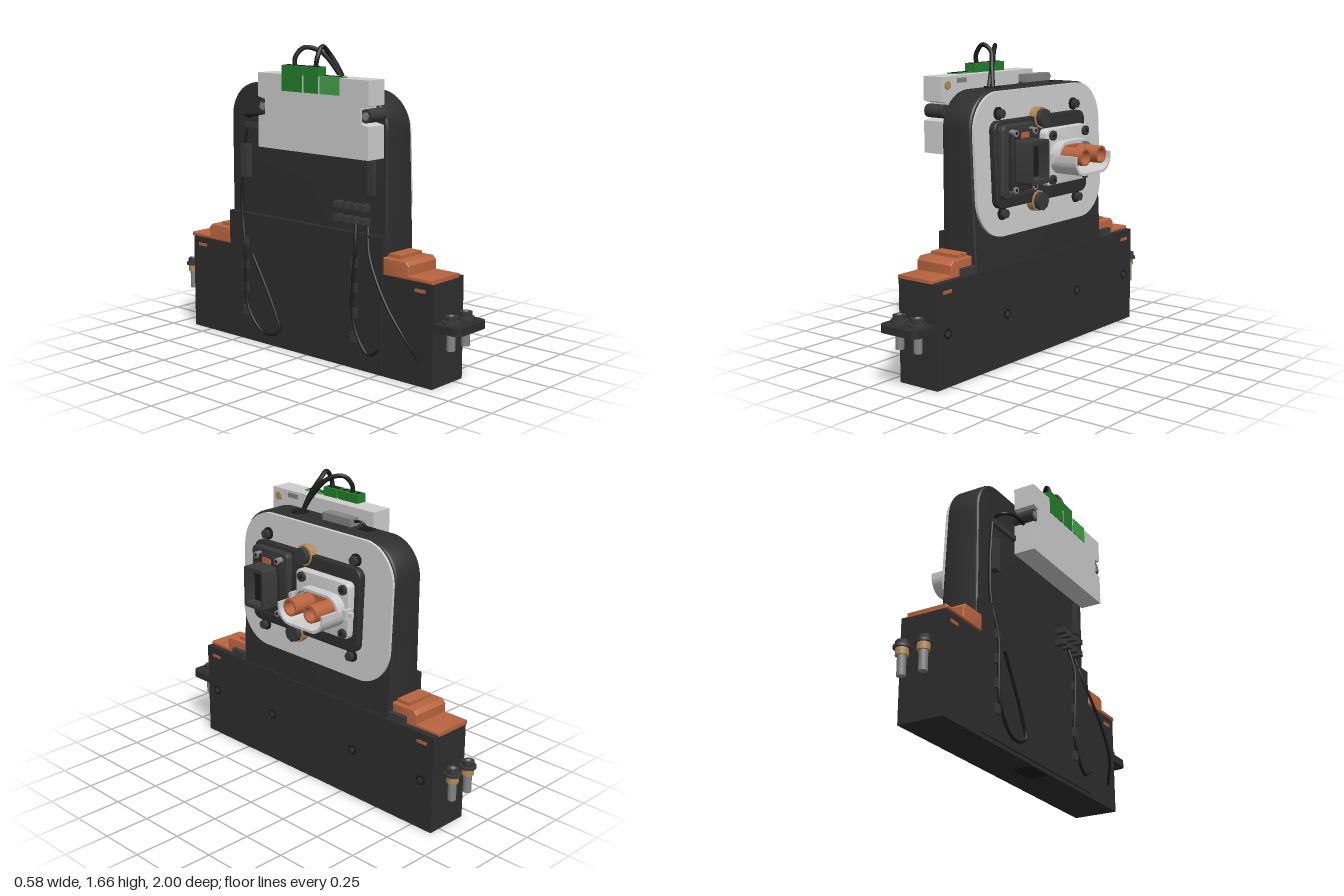
import * as THREE from 'three';
import { toCreasedNormals } from 'three/addons/utils/BufferGeometryUtils.js';

const mat = (name, color, side = THREE.FrontSide) => {
  const m = new THREE.MeshStandardMaterial({ color, side });
  m.name = name;
  return m;
};

export function createModel() {
  const root = new THREE.Group();
  const M = {
    body: mat('charcoal plastic', 0x2e2e2e),
    dark: mat('dark plastic', 0x3a3a3a),
    black: mat('black rubber', 0x1b1b1b),
    light: mat('light grey', 0xcfcfcf),
    steel: mat('steel', 0x858585),
    copper: mat('copper orange', 0xb9653f),
    brass: mat('brass', 0xb48b55),
    green: mat('terminal green', 0x23812a),
    lime: mat('pale terminal green', 0x46a64a),
  };
  const add = (name, geo, m, x = 0, y = 0, z = 0) => {
    const mesh = new THREE.Mesh(geo, m);
    mesh.name = name;
    mesh.position.set(x, y, z);
    root.add(mesh);
    return mesh;
  };
  // Box from its minimum and maximum corners
  const box = (name, m, x0, x1, y0, y1, z0, z1) =>
    add(name, new THREE.BoxGeometry(x1 - x0, y1 - y0, z1 - z0), m, (x0 + x1) / 2, (y0 + y1) / 2, (z0 + z1) / 2);
  // Rounded outline; u runs along -z, v along y
  const outline = (u0, u1, v0, v1, r, rb = r, T = THREE.Shape) => {
    const s = new T();
    s.moveTo(u0 + rb, v0);
    s.lineTo(u1 - rb, v0);
    if (rb) s.absarc(u1 - rb, v0 + rb, rb, -Math.PI / 2, 0, false);
    s.lineTo(u1, v1 - r);
    if (r) s.absarc(u1 - r, v1 - r, r, 0, Math.PI / 2, false);
    s.lineTo(u0 + r, v1);
    if (r) s.absarc(u0 + r, v1 - r, r, Math.PI / 2, Math.PI, false);
    s.lineTo(u0, v0 + rb);
    if (rb) s.absarc(u0 + rb, v0 + rb, rb, Math.PI, Math.PI * 1.5, false);
    return s;
  };
  // Extrudes an outline along x; lean slopes it back towards the top
  const slab = (name, m, shape, x0, x1, bevel = 0, lean = null) => {
    const g = new THREE.ExtrudeGeometry(shape, {
      depth: x1 - x0 - 2 * bevel, bevelEnabled: bevel > 0, bevelSize: bevel,
      bevelThickness: bevel, bevelOffset: -bevel, bevelSegments: 3, curveSegments: 10,
    });
    g.rotateY(Math.PI / 2).translate(x0 + bevel, 0, 0);
    if (lean) {
      const p = g.attributes.position;
      for (let i = 0; i < p.count; i++) if (p.getX(i) > lean) p.setX(i, p.getX(i) + frontX(p.getY(i)));
      g.computeVertexNormals();
    }
    return add(name, toCreasedNormals(g, 0.5), m);
  };
  const frontX = (y) => 0.02 + (1.42 - y) * 0.046;
  // Cylinder pointing along x
  const rod = (name, m, r, x0, x1, y, z, sides = 20) =>
    add(name, new THREE.CylinderGeometry(r, r, x1 - x0, sides).rotateZ(-Math.PI / 2), m, (x0 + x1) / 2, y, z);
  const post = (name, m, r, y0, y1, x, z, sides = 20) =>
    add(name, new THREE.CylinderGeometry(r, r, y1 - y0, sides), m, x, (y0 + y1) / 2, z);
  const cable = (name, r, pts) => add(name, new THREE.TubeGeometry(
    new THREE.CatmullRomCurve3(pts.map((p) => new THREE.Vector3(...p))), 40, r, 8), M.black);

  // Housing
  box('base', M.body, -0.18, 0.067, 0, 0.535, -0.882, 0.845);
  box('backPanel', M.body, -0.19, -0.1, 0.02, 0.72, -0.57, 0.53);
  slab('tower', M.body, outline(-0.535, 0.575, 0.42, 1.435, 0.19, 0.01), -0.16, 0, 0.018, -0.08);
  box('bottomRecess', M.black, -0.17, -0.06, -0.001, 0.004, -0.08, 0.1);
  for (const z of [0.765, 0.295, -0.33, -0.805]) {
    rod('screwHole', M.black, 0.028, 0.06, 0.069, 0.275, z);
    rod('screw', M.dark, 0.016, 0.06, 0.072, 0.275, z, 6);
  }

  // Copper end caps with their side tabs
  for (const [inner, d] of [[-0.535, -1], [0.575, 1]]) {
    const s = new THREE.Shape();
    const pts = [[0, 0.53], [0, 0.62], [0.145, 0.62], [0.165, 0.6], [0.165, 0.552], [0.31, 0.552], [0.31, 0.53]];
    (d > 0 ? pts.slice().reverse() : pts).forEach(([u, v], i) => s[i ? 'lineTo' : 'moveTo'](inner + d * u, v));
    slab('endCap', M.copper, s, -0.19, 0.035, 0.008);
    const zc = -(inner + d * 0.05);
    box('capRidge', M.copper, -0.16, 0.01, 0.6, 0.637, zc - 0.04, zc + 0.04);
    const zt = -(inner + d * 0.23);
    box('capTab', M.copper, 0.06, 0.07, 0.478, 0.495, zt - 0.032, zt + 0.032);
    box('capTabBack', M.copper, -0.184, -0.175, 0.478, 0.495, zt - 0.032, zt + 0.032);
    box('capSeam', M.dark, 0.03, 0.06, 0.535, 0.575, zc - 0.05, zc + 0.05);
  }

  // Terminal plate and the bolts at both ends
  const tongue = new THREE.ExtrudeGeometry(outline(-0.18, 0.065, -1, -0.8, 0, 0.04), { depth: 0.04, bevelEnabled: false });
  add('terminalPlate', tongue.rotateX(-Math.PI / 2).translate(0, 0.295, 0), M.body);
  for (const z of [0.91, -0.957]) for (const x of [-0.118, 0.002]) {
    post('boltShaft', M.steel, 0.022, 0.2, 0.35, x, z);
    post('boltWasher', M.dark, 0.043, 0.336, 0.35, x, z);
    post('boltHead', M.dark, 0.034, 0.35, 0.375, x, z, 6);
    post('boltSocket', M.steel, 0.014, 0.37, 0.378, x, z, 6);
    if (z < 0) post('boltCollar', M.brass, 0.032, 0.3, 0.336, x, z);
  }

  // Face plate, panel and fixings on the right side
  slab('facePlate', M.light, outline(-0.522, 0.565, 0.69, 1.43, 0.2), -0.012, 0.014, 0, -1);
  slab('panel', M.body, outline(-0.405, 0.38, 0.84, 1.285, 0.05), 0.0, 0.05, 0.008, -1);
  for (const z of [0.332, -0.317]) for (const y of [1.32, 0.81]) {
    const x = frontX(y);
    rod('plateWasher', M.black, 0.033, x, x + 0.024, y, z);
    rod('plateBolt', M.dark, 0.024, x, x + 0.05, y, z, 6);
  }
  for (const [y, z] of [[1.275, 0.02], [0.842, 0.066]]) {
    const x = frontX(y);
    rod('knobRing', M.brass, 0.056, x, x + 0.055, y, z, 12);
    rod('knob', M.dark, 0.048, x + 0.02, x + 0.085, y, z, 8);
  }

  // Dark connector with a hollow socket
  slab('signalFlange', M.dark, outline(-0.385, -0.108, 0.89, 1.265, 0.03), 0.06, 0.115, 0.008);
  slab('signalStep', M.body, outline(-0.34, -0.14, 0.925, 1.235, 0.02), 0.1, 0.14, 0.005);
  const socket = outline(-0.312, -0.165, 0.965, 1.19, 0.015);
  socket.holes.push(outline(-0.297, -0.18, 0.985, 1.17, 0.008, 0.008, THREE.Path));
  slab('signalSocket', M.dark, socket, 0.13, 0.24);
  box('signalCore', M.black, 0.13, 0.2, 1.0, 1.155, 0.205, 0.272);
  box('signalTab', M.copper, 0.13, 0.147, 1.195, 1.225, 0.21, 0.27);
  for (const z of [0.318, 0.158]) for (const y of [1.225, 0.935]) {
    rod('flangeScrew', M.steel, 0.018, 0.1, 0.15, y, z, 12);
    rod('flangeScrewSocket', M.black, 0.009, 0.14, 0.152, y, z, 6);
  }

  // Power connector: pale flange, collar, lower trough and two copper tubes
  slab('powerFlange', M.light, outline(-0.035, 0.345, 0.915, 1.215, 0.03), 0.06, 0.125, 0.006);
  const collar = outline(0, 0.325, 0.972, 1.147, 0.085);
  collar.holes.push(outline(0.014, 0.311, 0.986, 1.133, 0.072, 0.072, THREE.Path));
  slab('powerCollar', M.light, collar, 0.11, 0.18);
  const trough = new THREE.Shape();
  trough.absarc(0.24, 1.057, 0.085, 0, -Math.PI / 2, true);
  trough.absarc(0.085, 1.057, 0.085, -Math.PI / 2, -Math.PI, true);
  trough.lineTo(0, 1.08);
  trough.lineTo(0.014, 1.08);
  trough.absarc(0.085, 1.057, 0.071, Math.PI, Math.PI * 1.5, false);
  trough.absarc(0.24, 1.057, 0.071, -Math.PI / 2, 0, false);
  trough.lineTo(0.311, 1.08);
  trough.lineTo(0.325, 1.08);
  slab('powerTrough', M.light, trough, 0.18, 0.288);
  slab('contactBase', M.copper, outline(0.035, 0.285, 1.022, 1.118, 0.047), 0.12, 0.15);
  for (const z of [-0.09, -0.235]) {
    const tube = new THREE.Shape().absarc(-z, 1.07, 0.047, 0, Math.PI * 2, false);
    tube.holes.push(new THREE.Path().absarc(-z, 1.07, 0.036, 0, Math.PI * 2, true));
    slab('contactTube', M.copper, tube, 0.14, 0.288);
    rod('contactCore', M.black, 0.03, 0.14, 0.23, 1.07, z);
    rod('contactPin', M.copper, 0.016, 0.22, 0.25, 1.07, z, 12);
  }
  for (const z of [0.03, -0.355]) {
    box('latchPin', M.light, 0.13, 0.15, 1.055, 1.077, z - 0.035, z + 0.035);
    box('latchHead', M.light, 0.115, 0.165, 1.04, 1.092, z - 0.008, z + 0.008);
  }
  for (const z of [-0.015, -0.31]) for (const y of [1.18, 0.945]) {
    rod('flangeScrew', M.dark, 0.026, 0.12, 0.14, y, z, 16);
    rod('flangeScrewSocket', M.black, 0.012, 0.13, 0.142, y, z, 6);
  }

  // Control unit with end notches, terminals and screws
  const unit = new THREE.Shape();
  [[-0.52, 1.115], [0.235, 1.115], [0.235, 1.28], [0.185, 1.29], [0.185, 1.37], [0.235, 1.38], [0.235, 1.505],
    [-0.52, 1.505], [-0.52, 1.38], [-0.47, 1.37], [-0.47, 1.29], [-0.52, 1.28]]
    .forEach(([u, v], i) => unit[i ? 'lineTo' : 'moveTo'](u, v));
  slab('controlUnit', M.light, unit, -0.29, -0.17);
  for (const z of [0.495, -0.21]) {
    rod('unitScrew', M.dark, 0.035, -0.28, -0.16, 1.33, z, 12);
    rod('unitScrewHead', M.steel, 0.022, -0.285, -0.27, 1.33, z, 6);
  }
  rod('unitStud', M.brass, 0.022, -0.18, -0.164, 1.46, 0.475, 12);
  box('unitLabelSlot', M.steel, -0.175, -0.166, 1.468, 1.492, 0.325, 0.4);
  for (const [z0, z1, m] of [[-0.06, 0.08, M.green], [0.095, 0.19, M.green], [0.205, 0.335, M.lime]]) {
    const h = m === M.green ? 1.552 : 1.51;
    box('terminalBlock', m, -0.294, -0.232, 1.42, h, z0, z1);
    for (let i = 0; i < 3; i++) {
      const z = z0 + ((z1 - z0) * (i + 0.5)) / 3;
      box('terminalSlot', M.black, -0.28, -0.25, h - 0.004, h + 0.002, z - 0.012, z + 0.012);
    }
  }

  // Top fittings
  box('topBracket', M.steel, -0.09, -0.03, 1.45, 1.492, -0.205, -0.005);
  box('topBracketFoot', M.dark, -0.1, -0.02, 1.42, 1.452, -0.19, -0.02);
  box('topSocket', M.black, -0.13, -0.07, 1.42, 1.442, -0.29, -0.22);
  post('cableGland', M.black, 0.045, 1.42, 1.442, -0.085, 0.22);

  // Cables
  cable('cable', 0.012, [[-0.255, 1.53, 0], [-0.255, 1.59, 0], [-0.22, 1.64, 0.03], [-0.17, 1.62, 0.1], [-0.13, 1.53, 0.17], [-0.1, 1.41, 0.235]]);
  cable('cable', 0.012, [[-0.255, 1.53, 0.14], [-0.25, 1.6, 0.15], [-0.21, 1.65, 0.145], [-0.16, 1.62, 0.14], [-0.12, 1.53, 0.18], [-0.085, 1.41, 0.215]]);
  cable('bracketCable', 0.008, [[-0.06, 1.475, -0.19], [-0.07, 1.475, -0.25], [-0.1, 1.42, -0.275]]);
  cable('sideCable', 0.009, [[-0.15, 1.25, -0.42], [-0.21, 1.26, -0.41], [-0.235, 1.27, -0.35], [-0.225, 1.28, -0.22]]);
  cable('backCable', 0.009, [[-0.165, 1.2, -0.45], [-0.172, 0.95, -0.48], [-0.18, 0.74, -0.48], [-0.2, 0.55, -0.44],
    [-0.2, 0.2, -0.42], [-0.2, 0.07, -0.3], [-0.2, 0.1, -0.18], [-0.2, 0.22, -0.22], [-0.2, 0.5, -0.38]]);
  cable('backCable', 0.008, [[-0.17, 0.76, 0.42], [-0.205, 0.62, 0.46], [-0.235, 0.42, 0.58], [-0.225, 0.25, 0.7], [-0.18, 0.13, 0.76]]);
  cable('backCable', 0.009, [[-0.17, 0.8, 0.34], [-0.198, 0.66, 0.36], [-0.198, 0.25, 0.35], [-0.198, 0.1, 0.45], [-0.198, 0.14, 0.52]]);

  // Cable ducts and clips on the back
  box('backDuct', M.dark, -0.198, -0.155, 0.92, 1.1, -0.47, -0.42);
  box('backDuct', M.dark, -0.18, -0.155, 1.19, 1.22, -0.45, -0.22);
  box('backDuct', M.dark, -0.18, -0.155, 0.92, 1.1, 0.42, 0.46);
  for (let i = 0; i < 4; i++) {
    const z = 0.22 + i * 0.06;
    box('cableClip', M.dark, -0.215, -0.155, 0.77, 0.8, z, z + 0.03);
    box('cableClip', M.dark, -0.215, -0.155, 0.84, 0.87, z, z + 0.03);
    for (const dz of [-0.46, 0.33]) box('ductClip', M.dark, -0.203, -0.185, 0.15 + i * 0.13, 0.2 + i * 0.13, dz, dz + 0.04);
  }
  return root;
}
